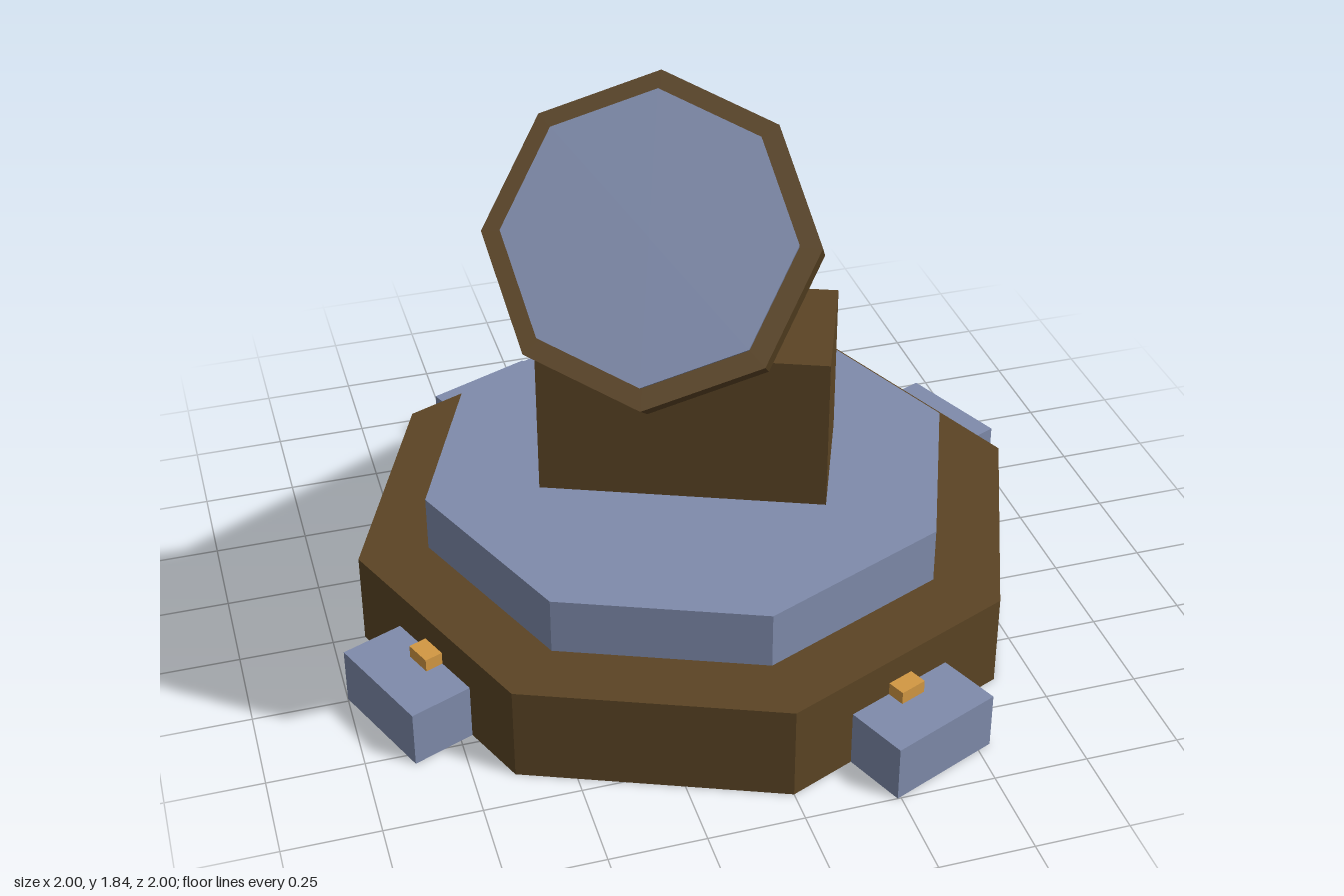
import * as THREE from 'three';

export function createModel() {
  const model = new THREE.Group();
  model.name = 'mortarTurret';

  const flat = (name, color) => {
    const m = new THREE.MeshStandardMaterial({ color, flatShading: true });
    m.name = name;
    return m;
  };
  const steel = flat('slateSteel', 0x7f8bab);
  const bronze = flat('darkBronze', 0x5b4424);
  const brass = flat('brass', 0xd29843);

  const add = (parent, name, geometry, material, x = 0, y = 0, z = 0) => {
    const mesh = new THREE.Mesh(geometry, material);
    mesh.name = name;
    mesh.position.set(x, y, z);
    parent.add(mesh);
    return mesh;
  };
  const octagon = (top, bottom, height) => new THREE.CylinderGeometry(top, bottom, height, 8);

  // Stepped octagonal base
  add(model, 'basePlate', octagon(0.913, 0.913, 0.26), bronze, 0, 0.13, 0);
  add(model, 'turntable', octagon(0.725, 0.725, 0.155), steel, 0, 0.3375, 0);

  // Four feet with small bolts, one on every second side of the base
  for (let i = 0; i < 4; i++) {
    const foot = new THREE.Group();
    foot.name = 'foot';
    foot.rotation.y = Math.PI / 8 + i * Math.PI / 2;
    add(foot, 'footBlock', new THREE.BoxGeometry(0.32, 0.155, 0.182), steel, 0, 0.0775, 0.925);
    add(foot, 'footBolt', new THREE.BoxGeometry(0.075, 0.06, 0.075), brass, 0, 0.16, 0.855);
    model.add(foot);
  }

  // Gun assembly, turned to one side
  const gun = new THREE.Group();
  gun.name = 'gun';
  gun.rotation.y = -Math.PI / 8;
  model.add(gun);
  add(gun, 'pedestal', new THREE.BoxGeometry(0.76, 0.445, 0.38), bronze, 0, 0.6225, 0);

  // Raised barrel: its local y axis runs from breech to muzzle
  const breech = new THREE.Vector3(0, 0.817, -0.21);
  const muzzle = new THREE.Vector3(0, 1.56, 0.84);
  const axis = muzzle.clone().sub(breech);
  const length = axis.length();
  const barrel = new THREE.Group();
  barrel.name = 'barrelAssembly';
  barrel.position.copy(breech);
  barrel.rotation.x = Math.atan2(axis.z, axis.y);
  gun.add(barrel);
  add(barrel, 'barrel', octagon(0.326, 0.257, length), steel, 0, length / 2, 0);
  add(barrel, 'muzzleRing', octagon(0.375, 0.375, 0.152), bronze, 0, length - 0.045 - 0.076, 0);

  return model;
}
